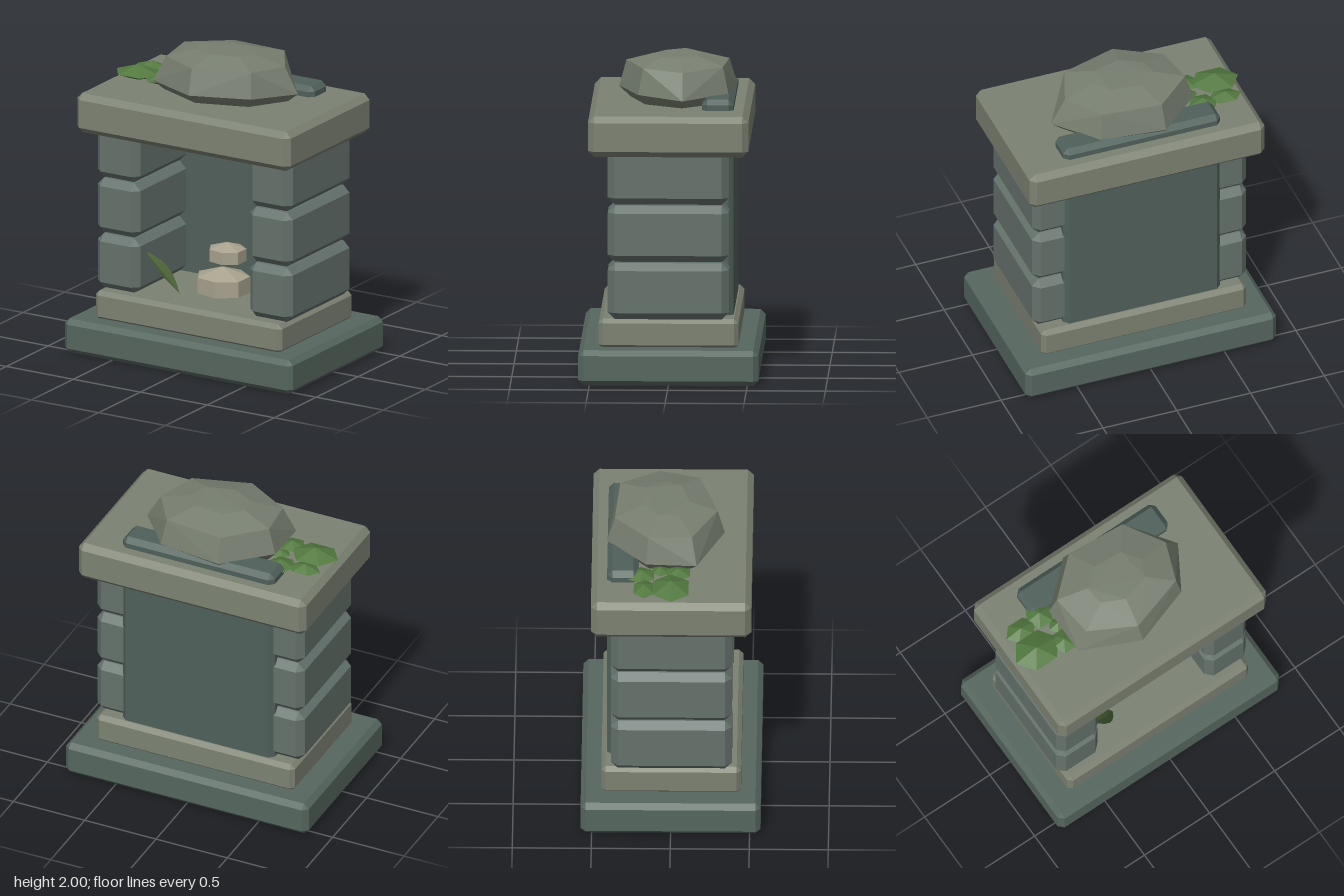
import * as THREE from 'three';
import { ConvexGeometry } from 'three/addons/geometries/ConvexGeometry.js';

const mat = (color, side = THREE.FrontSide) =>
  new THREE.MeshStandardMaterial({ color, flatShading: true, side });

const darkStone = mat(0x56665f);
const paleStone = mat(0x7c8272);
const blockStone = mat(0x65726c);
const panelStone = mat(0x50605a);
const boulderStone = mat(0x777f70);
const offeringStone = mat(0xa8a28e);
const moss = mat(0x52793f);
const leafGreen = mat(0x4c6638, THREE.DoubleSide);

function add(parent, name, geometry, material) {
  const mesh = new THREE.Mesh(geometry, material);
  mesh.name = name;
  parent.add(mesh);
  return mesh;
}

// Box between two corners with every edge chamfered by b
function chamferBox([x0, y0, z0], [x1, y1, z1], b) {
  const half = [(x1 - x0) / 2, (y1 - y0) / 2, (z1 - z0) / 2];
  const points = [];
  for (const sx of [-1, 1]) for (const sy of [-1, 1]) for (const sz of [-1, 1]) {
    for (let axis = 0; axis < 3; axis++) {
      const p = half.map((h, i) => (i === axis ? h : h - b));
      points.push(new THREE.Vector3(p[0] * sx, p[1] * sy, p[2] * sz));
    }
  }
  return new ConvexGeometry(points).translate((x0 + x1) / 2, (y0 + y1) / 2, (z0 + z1) / 2);
}

// Boulder: irregular seven-sided rings from the underside to the crown
function boulderGeometry() {
  const outline = [[-0.155, -0.41], [0.27, -0.365], [0.5, -0.08], [0.33, 0.205],
    [-0.055, 0.335], [-0.43, 0.16], [-0.435, -0.16]];
  const shoulder = [[-0.145, -0.36], [0.245, -0.33], [0.405, -0.08], [0.31, 0.175],
    [-0.06, 0.29], [-0.35, 0.13], [-0.385, -0.145]];
  const points = [];
  outline.forEach(([x, z], i) => {
    const wobble = 0.008 * Math.sin(i * 2.3);
    points.push(new THREE.Vector3(x * 0.84, 1.705, z * 0.8 - 0.01));
    points.push(new THREE.Vector3(x, 1.778 + wobble, z));
    const [sx, sz] = shoulder[i];
    points.push(new THREE.Vector3(sx, 1.945 + wobble, sz));
    points.push(new THREE.Vector3(sx * 0.5, 1.995 + wobble * 0.6, sz * 0.45 - 0.02));
  });
  return new ConvexGeometry(points);
}

// Curved pointed leaf: cross-sections along an arc, wide in the middle
function leafGeometry() {
  const spine = new THREE.QuadraticBezierCurve3(
    new THREE.Vector3(-0.2, 0.405, 0.21),
    new THREE.Vector3(-0.275, 0.59, 0.27),
    new THREE.Vector3(-0.415, 0.665, 0.27));
  const steps = 6;
  const positions = [];
  const index = [];
  for (let i = 0; i <= steps; i++) {
    const t = i / steps;
    const p = spine.getPoint(t);
    const w = 0.055 * Math.sin(Math.PI * t);
    // The midrib sinks slightly below both edges
    positions.push(p.x, p.y, p.z - w, p.x - w * 0.25, p.y - w * 0.25, p.z, p.x, p.y, p.z + w);
    if (i < steps) {
      for (let k = 0; k < 2; k++) {
        const a = i * 3 + k;
        index.push(a, a + 1, a + 3, a + 1, a + 4, a + 3);
      }
    }
  }
  const geometry = new THREE.BufferGeometry();
  geometry.setAttribute('position', new THREE.Float32BufferAttribute(positions, 3));
  geometry.setIndex(index);
  geometry.computeVertexNormals();
  return geometry;
}

export function createModel() {
  const model = new THREE.Group();
  model.name = 'stoneShrine';

  // Stepped base
  add(model, 'base', chamferBox([-0.85, 0, -0.57], [0.85, 0.225, 0.57], 0.033), darkStone);
  add(model, 'step', chamferBox([-0.695, 0.21, -0.44], [0.695, 0.405, 0.445], 0.028), paleStone);

  // Side pillars of three stacked blocks
  for (const side of [1, -1]) {
    const pillar = new THREE.Group();
    pillar.name = side > 0 ? 'leftPillar' : 'rightPillar';
    for (let row = 0; row < 3; row++) {
      const y = 0.403 + row * 0.368;
      const x = [0.41 * side, 0.727 * side].sort((a, b) => a - b);
      add(pillar, 'pillarBlock',
        chamferBox([x[0], y, -0.38], [x[1], y + 0.36, 0.387], 0.045), blockStone);
    }
    model.add(pillar);
  }

  // Back panel rises through the roof
  add(model, 'backPanel', chamferBox([-0.535, 0.33, -0.405], [0.53, 1.783, -0.205], 0.033), panelStone);
  add(model, 'roofSlab', chamferBox([-0.8, 1.455, -0.505], [0.795, 1.715, 0.51], 0.038), paleStone);
  add(model, 'boulder', boulderGeometry(), boulderStone);

  // Moss clumps: flattened six-sided bipyramids [x, y, z, rx, ry, rz]
  const clumps = [
    [-0.64, 1.745, 0, 0.16, 0.055, 0.13],
    [-0.645, 1.74, -0.17, 0.11, 0.037, 0.075],
    [-0.49, 1.74, -0.19, 0.095, 0.04, 0.095],
    [-0.46, 1.74, 0.045, 0.085, 0.035, 0.085],
    [-0.43, 1.735, -0.07, 0.065, 0.03, 0.055],
  ];
  for (const [x, y, z, rx, ry, rz] of clumps) {
    const clump = add(model, 'mossClump', new THREE.SphereGeometry(1, 6, 2), moss);
    clump.position.set(x, y, z);
    clump.scale.set(rx, ry, rz);
  }

  // Two stacked offering stones
  const stones = [
    ['lowerOfferingStone', 0.005, 0.45, 0.02, 0.205, 0.12, 0.185],
    ['upperOfferingStone', 0.025, 0.65, 0, 0.143, 0.08, 0.13],
  ];
  for (const [name, x, y, z, rx, ry, rz] of stones) {
    const stone = add(model, name, new THREE.SphereGeometry(1, 7, 3), offeringStone);
    stone.position.set(x, y, z);
    stone.scale.set(rx, ry, rz);
  }

  add(model, 'leaf', leafGeometry(), leafGreen);
  return model;
}
